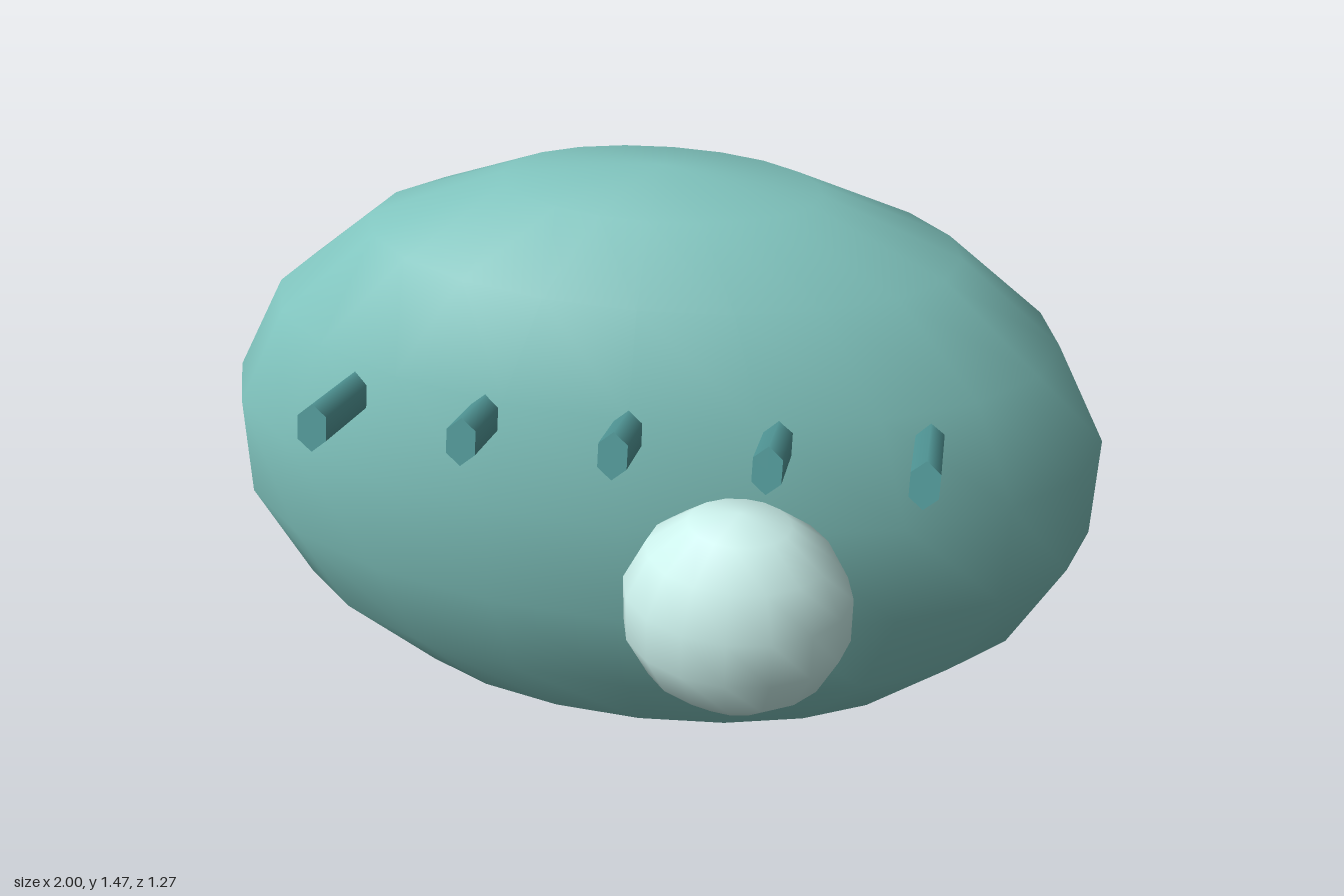
import * as THREE from 'three';

const material = (color) => new THREE.MeshStandardMaterial({ color });

// Low-poly ellipsoid with smooth normals
function ellipsoid(name, mat, radii, position, columns, rows) {
  const geometry = new THREE.SphereGeometry(1, columns, rows);
  geometry.scale(...radii);
  const mesh = new THREE.Mesh(geometry, mat);
  mesh.name = name;
  mesh.position.set(...position);
  return mesh;
}

export function createModel() {
  const model = new THREE.Group();
  model.name = 'ellipsoidWithRods';

  // Wide body and the pale bulb on its front
  model.add(ellipsoid('body', material(0x80c4be), [1.015, 0.733, 0.5], [0, 0.733, -0.12], 20, 9));
  model.add(ellipsoid('bulb', material(0xcdf2ed), [0.249, 0.25, 0.195], [0.253, 0.735, 0.445], 16, 7));

  // Row of narrow hexagonal rods running through the body, front end raised
  const rods = new THREE.Group();
  rods.name = 'rods';
  const rodGeometry = new THREE.CylinderGeometry(0.05, 0.05, 1.177, 6);
  rodGeometry.scale(0.69, 1, 1);
  rodGeometry.rotateX(THREE.MathUtils.degToRad(70));
  const rodMaterial = material(0x559e9e);
  for (let i = -2; i <= 2; i++) {
    const rod = new THREE.Mesh(rodGeometry, rodMaterial);
    rod.name = 'rod';
    rod.position.set(i * 0.31, 0.93, -0.06);
    rods.add(rod);
  }
  model.add(rods);

  return model;
}
